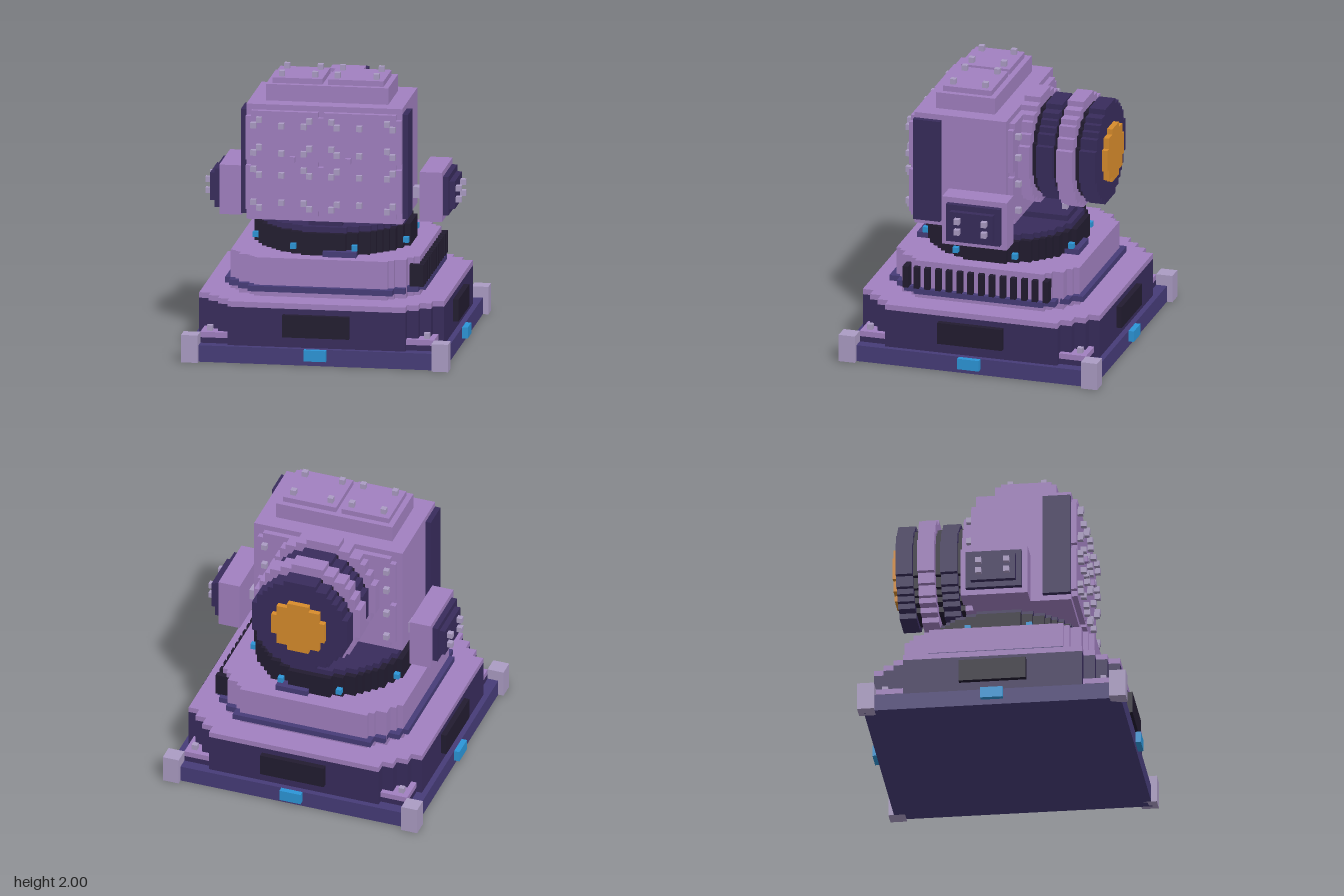
import * as THREE from 'three';

const U = 0.04; // block size
const mat = (color) => new THREE.MeshStandardMaterial({ color, flatShading: true });
const M = {
  purple: mat(0xa180c0), dark: mat(0x382c5c), black: mat(0x221c30), indigo: mat(0x463c78),
  grey: mat(0xab9cc4), blue: mat(0x2c96d8), orange: mat(0xd88c2c),
};

export function createModel() {
  const model = new THREE.Group();

  const add = (name, geometry, material) => {
    const mesh = new THREE.Mesh(geometry, material);
    mesh.name = name;
    model.add(mesh);
    return mesh;
  };

  // box given by its lower and upper limits on each axis
  const box = (name, m, x0, x1, y0, y1, z0, z1) => {
    const mesh = add(name, new THREE.BoxGeometry(x1 - x0, y1 - y0, z1 - z0), m);
    mesh.position.set((x0 + x1) / 2, (y0 + y1) / 2, (z0 + z1) / 2);
    return mesh;
  };
  const cube = (name, m, x, y, z) =>
    box(name, m, x - U / 2, x + U / 2, y - U / 2, y + U / 2, z - U / 2, z + U / 2);

  // staircase outline from one quadrant of [half width, half height] steps
  const steppedShape = (steps) => {
    const q = [];
    steps.forEach(([w, h], i) => {
      if (i) q.push([w, steps[i - 1][1]]);
      q.push([w, h]);
    });
    const r = [...q].reverse();
    const pts = [
      ...q, ...r.map(([x, y]) => [-x, y]),
      ...q.map(([x, y]) => [-x, -y]), ...r.map(([x, y]) => [x, -y]),
    ];
    return new THREE.Shape(pts.map(([x, y]) => new THREE.Vector2(x, y)));
  };

  // block-stepped circle
  const discSteps = (radius) => {
    const steps = [];
    for (let i = 0; i < Math.round(radius / U); i++) {
      const mid = (i + 0.5) * U;
      const w = Math.round(Math.sqrt(radius * radius - mid * mid) / U) * U;
      const last = steps[steps.length - 1];
      if (last && Math.abs(last[0] - w) < 1e-6) last[1] = (i + 1) * U;
      else steps.push([w, (i + 1) * U]);
    }
    return steps;
  };

  const extrude = (steps, depth) =>
    new THREE.ExtrudeGeometry(steppedShape(steps), { depth, bevelEnabled: false });
  // horizontal slab between two heights
  const slab = (name, m, steps, y0, y1) => {
    add(name, extrude(steps, y1 - y0).rotateX(-Math.PI / 2), m).position.y = y0;
  };
  // disc facing along z
  const ring = (name, m, radius, z0, z1) => {
    add(name, extrude(discSteps(radius), z1 - z0), m).position.set(0, 1.44, z0);
  };

  // base plate with corner posts, brackets and bolts
  box('basePlate', M.indigo, -0.92, 0.92, 0, 0.12, -0.92, 0.92);
  box('baseStep', M.dark, -0.84, 0.84, 0.12, 0.16, -0.84, 0.84);
  for (const sx of [-1, 1]) for (const sz of [-1, 1]) {
    const at = (name, m, c, half, y0, y1) =>
      box(name, m, sx * c - half, sx * c + half, y0, y1, sz * c - half, sz * c + half);
    at('cornerPost', M.grey, 0.9, 0.06, 0, 0.2);
    at('cornerBracket', M.purple, 0.74, 0.1, 0.16, 0.2);
    at('bracketBolt', M.grey, 0.78, 0.02, 0.2, 0.24);
  }

  // lower tier
  const tier = [[0.88, 0.64], [0.8, 0.72], [0.72, 0.8], [0.64, 0.88]];
  slab('lowerTier', M.dark, tier, 0.12, 0.4);
  slab('lowerTierTop', M.purple, tier, 0.4, 0.44);

  // black panel and blue light on each side of the base
  for (const s of [-1, 1]) {
    const p = s * 0.9, l = s * 0.94;
    box('sidePanel', M.black, -0.24, 0.24, 0.2, 0.36, p - 0.02, p + 0.02);
    box('sidePanel', M.black, p - 0.02, p + 0.02, 0.2, 0.36, -0.24, 0.24);
    box('baseLight', M.blue, -0.08, 0.08, 0.04, 0.12, l - 0.02, l + 0.02);
    box('baseLight', M.blue, l - 0.02, l + 0.02, 0.04, 0.12, -0.08, 0.08);
  }

  // upper tier with trim band and a row of vents on the left side
  slab('upperTier', M.purple,
    [[0.68, 0.48], [0.64, 0.52], [0.6, 0.6], [0.52, 0.64], [0.48, 0.68]], 0.44, 0.72);
  slab('trimBand', M.indigo, [[0.72, 0.48], [0.68, 0.56], [0.6, 0.64], [0.52, 0.72]], 0.48, 0.52);
  for (let i = 0; i < 14; i++) {
    const z = 0.54 - i * 0.08;
    box('vent', M.black, 0.62, 0.72, 0.52, 0.68, z - 0.02, z + 0.02);
  }

  // turntable with tabs and a circle of lights
  slab('turntable', M.black, discSteps(0.56), 0.72, 0.88);
  slab('turntableTop', M.dark, discSteps(0.52), 0.88, 0.92);
  box('neck', M.dark, -0.12, 0.12, 0.92, 0.96, -0.48, 0.48);
  cube('neckBolt', M.grey, -0.02, 0.98, -0.42);
  for (const z of [-0.54, 0.54])
    box('turntableTab', M.indigo, 0, 0.24, 0.72, 0.76, z - 0.06, z + 0.06);
  const snap = (v) => Math.floor(v / U) * U + U / 2;
  for (let k = 0; k < 8; k++) {
    const a = (k + 0.5) * Math.PI / 4;
    cube('turntableLight', M.blue, snap(0.58 * Math.cos(a)), 0.78, snap(0.58 * Math.sin(a)));
  }

  // main housing with notched front and back plates
  box('housing', M.purple, -0.56, 0.56, 0.96, 1.8, -0.16, 0.52);
  const notchedPlate = (name, half, z0, z1) => {
    for (const [y0, y1] of [[1.04, 1.36], [1.4, 1.72]])
      box(name, M.purple, -half, half, y0, y1, z0, z1);
    for (const y of [1.0, 1.36, 1.72]) {
      box(name, M.purple, -half + U, -U, y, y + U, z0, z1);
      box(name, M.purple, 0, half - U, y, y + U, z0, z1);
    }
  };
  notchedPlate('frontPlate', 0.56, 0.52, 0.56);
  notchedPlate('backPlate', 0.52, -0.2, -0.16);

  // front bolts: diagonal pairs around each plate corner, singles between
  [[1.66, 1], [1.46, 1], [1.3, -1], [1.06, -1]].forEach(([y, dir], row) => {
    for (const [outer, inner] of [[-0.5, -0.46], [-0.14, -0.1], [0.1, 0.06], [0.5, 0.46]]) {
      cube('frontBolt', M.grey, outer, dir > 0 ? y : y + U, 0.58);
      cube('frontBolt', M.grey, inner, dir > 0 ? y + U : y, 0.58);
    }
    for (const x of [-0.3, 0.26]) cube('frontBolt', M.grey, x, row === 3 ? y + U : y, 0.58);
  });
  for (const x of [-0.22, 0.18]) cube('plateStud', M.purple, x, 1.42, 0.58);
  for (const x of [-0.46, 0.46])
    for (const y of [1.1, 1.3, 1.5, 1.66]) cube('backBolt', M.grey, x, y, -0.22);

  // roof cap with two hatches
  box('roofCap', M.purple, -0.44, 0.44, 1.8, 1.92, -0.04, 0.4);
  box('rightHatch', M.purple, -0.4, -0.04, 1.92, 1.96, 0, 0.36);
  box('leftHatch', M.purple, 0, 0.4, 1.92, 1.96, 0, 0.36);
  for (const x of [-0.34, -0.1, 0.06, 0.34])
    for (const z of [0.06, 0.3]) cube('hatchBolt', M.grey, x, 1.98, z);

  // side panels and pods, mirrored
  for (const s of [-1, 1]) {
    const side = (name, m, a, b, y0, y1, z0, z1) =>
      box(name, m, Math.min(s * a, s * b), Math.max(s * a, s * b), y0, y1, z0, z1);
    side('housingSidePanel', M.dark, 0.56, 0.6, 1.0, 1.76, 0.32, 0.52);
    side('podAxle', M.grey, 0.56, 0.64, 1.04, 1.12, -0.04, 0.04);
    side('pod', M.purple, 0.64, 0.8, 0.92, 1.28, -0.24, 0.24);
    side('podCover', M.dark, 0.8, 0.84, 0.96, 1.24, -0.2, 0.2);
    side('podCap', M.dark, 0.84, 0.88, 1.0, 1.2, -0.16, 0.16);
    for (const y of [1.06, 1.14])
      for (const z of [-0.1, 0.1]) cube('podBolt', M.grey, s * 0.9, y, z);
  }

  // ribbed barrel at the back with glowing end
  ring('barrelCollar', M.purple, 0.4, -0.28, -0.16);
  ring('barrelCore', M.black, 0.32, -0.64, -0.28);
  ring('barrelInnerRib', M.dark, 0.36, -0.44, -0.32);
  ring('barrelMiddleRib', M.purple, 0.4, -0.6, -0.48);
  ring('barrelEndRib', M.dark, 0.36, -0.76, -0.64);
  ring('barrelGlow', M.orange, 0.2, -0.8, -0.76);

  return model;
}
